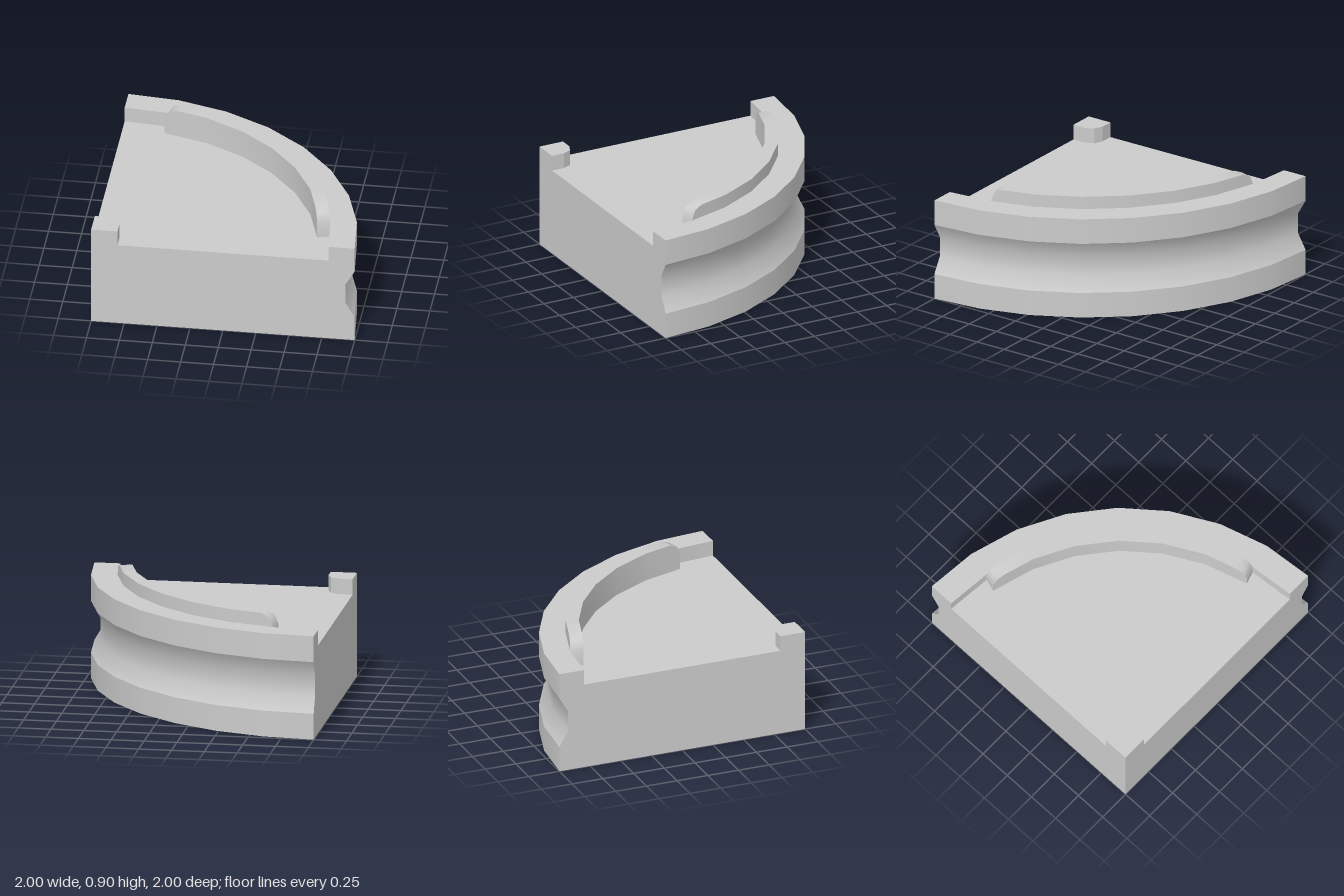
import * as THREE from 'three';
import { toCreasedNormals } from 'three/addons/utils/BufferGeometryUtils.js';

const material = new THREE.MeshStandardMaterial({ color: 0xcccccc });
const SEGMENTS = 8; // facets in the quarter turn
const STEP = Math.PI / 2 / SEGMENTS;
const FLOOR = 0.68, TOP = 0.8, RAIL_TOP = 0.9;
const OUTER = 2, RIM = 1.8, RAIL = 1.7;

// Bands of the quarter-turn profile as [radius, height]; normals stay sharp between bands
const bands = {
  underside: [[0, 0], [OUTER, 0]],
  lowerBand: [[OUTER, 0], [OUTER, 0.2]],
  groove: [[OUTER, 0.2], [1.93, 0.32], [1.93, 0.48], [OUTER, 0.6]],
  upperBand: [[OUTER, 0.6], [OUTER, TOP]],
  rimTop: [[OUTER, TOP], [RIM, TOP]],
  rimInnerWall: [[RIM, TOP], [RIM, FLOOR]],
  floor: [[RIM, FLOOR], [0, FLOOR]],
};

const toVectors = (points) => points.map(([x, y]) => new THREE.Vector2(x, y));

function addMesh(group, name, geometry) {
  const mesh = new THREE.Mesh(geometry, material);
  mesh.name = name;
  group.add(mesh);
}

// Curved rail along the rim, with rounded-off ends
function railGeometry() {
  const onArc = (r, i) => [r * Math.sin(i * STEP), r * Math.cos(i * STEP)];
  const [px, ps] = onArc(RIM, 1);
  const dx = Math.cos(1.5 * STEP), ds = -Math.sin(1.5 * STEP);
  const width = RIM - RAIL;

  // Stations hold the outer point, inner point and top height
  const end = [[0, TOP], [0.03, 0.87], [0.1, RAIL_TOP]].map(([t, top]) => {
    const o = [px + t * dx, ps + t * ds];
    return { o, i: [o[0] + width * ds, o[1] - width * dx], top };
  });
  const flip = ([a, b]) => [b, a];
  const stations = [...end];
  for (let k = 2; k <= SEGMENTS - 2; k++) {
    stations.push({ o: onArc(RIM, k), i: onArc(RAIL, k), top: RAIL_TOP });
  }
  stations.push(...end.map((s) => ({ o: flip(s.o), i: flip(s.i), top: s.top })).reverse());

  const rings = stations.map(({ o, i, top }) => [
    [o[0], FLOOR, -o[1]], [o[0], top, -o[1]],
    [i[0], top, -i[1]], [i[0], FLOOR, -i[1]],
  ]);
  const positions = [];
  const quad = (a, b, c, d) => positions.push(...a, ...b, ...c, ...a, ...c, ...d);
  for (let k = 0; k < rings.length - 1; k++) {
    for (let j = 0; j < 4; j++) {
      const n = (j + 1) % 4;
      quad(rings[k][j], rings[k][n], rings[k + 1][n], rings[k + 1][j]);
    }
  }
  const first = rings[0], last = rings[rings.length - 1];
  quad(first[0], first[3], first[2], first[1]);
  quad(last[0], last[1], last[2], last[3]);

  const geometry = new THREE.BufferGeometry();
  geometry.setAttribute('position', new THREE.Float32BufferAttribute(positions, 3));
  return toCreasedNormals(geometry, 0.9);
}

export function createModel() {
  const model = new THREE.Group();
  model.name = 'quarterRoundBlock';

  // Everything is built around the corner axis, then moved to centre the block
  const block = new THREE.Group();
  block.name = 'block';
  block.position.set(-1, 0, 1);
  model.add(block);

  // Turned surfaces
  for (const [name, points] of Object.entries(bands)) {
    addMesh(block, name, new THREE.LatheGeometry(toVectors(points), SEGMENTS, Math.PI / 2, Math.PI / 2));
  }

  // Flat cut faces at the front and on the right side
  const outline = Object.values(bands).flat();
  addMesh(block, 'frontCutFace', new THREE.ShapeGeometry(new THREE.Shape(toVectors(outline))));
  const mirrored = outline.map(([r, y]) => [-r, y]);
  addMesh(block, 'sideCutFace',
    new THREE.ShapeGeometry(new THREE.Shape(toVectors(mirrored))).rotateY(-Math.PI / 2));

  // Small corner post with a rounded corner
  const post = new THREE.Shape(toVectors([[0, 0], [0.2, 0], [0.2, 0.1], [0.17, 0.17], [0.1, 0.2], [0, 0.2]]));
  addMesh(block, 'cornerPost',
    new THREE.ExtrudeGeometry(post, { depth: TOP - FLOOR, bevelEnabled: false })
      .rotateX(-Math.PI / 2).translate(0, FLOOR, 0));

  addMesh(block, 'curvedRail', railGeometry());
  return model;
}
